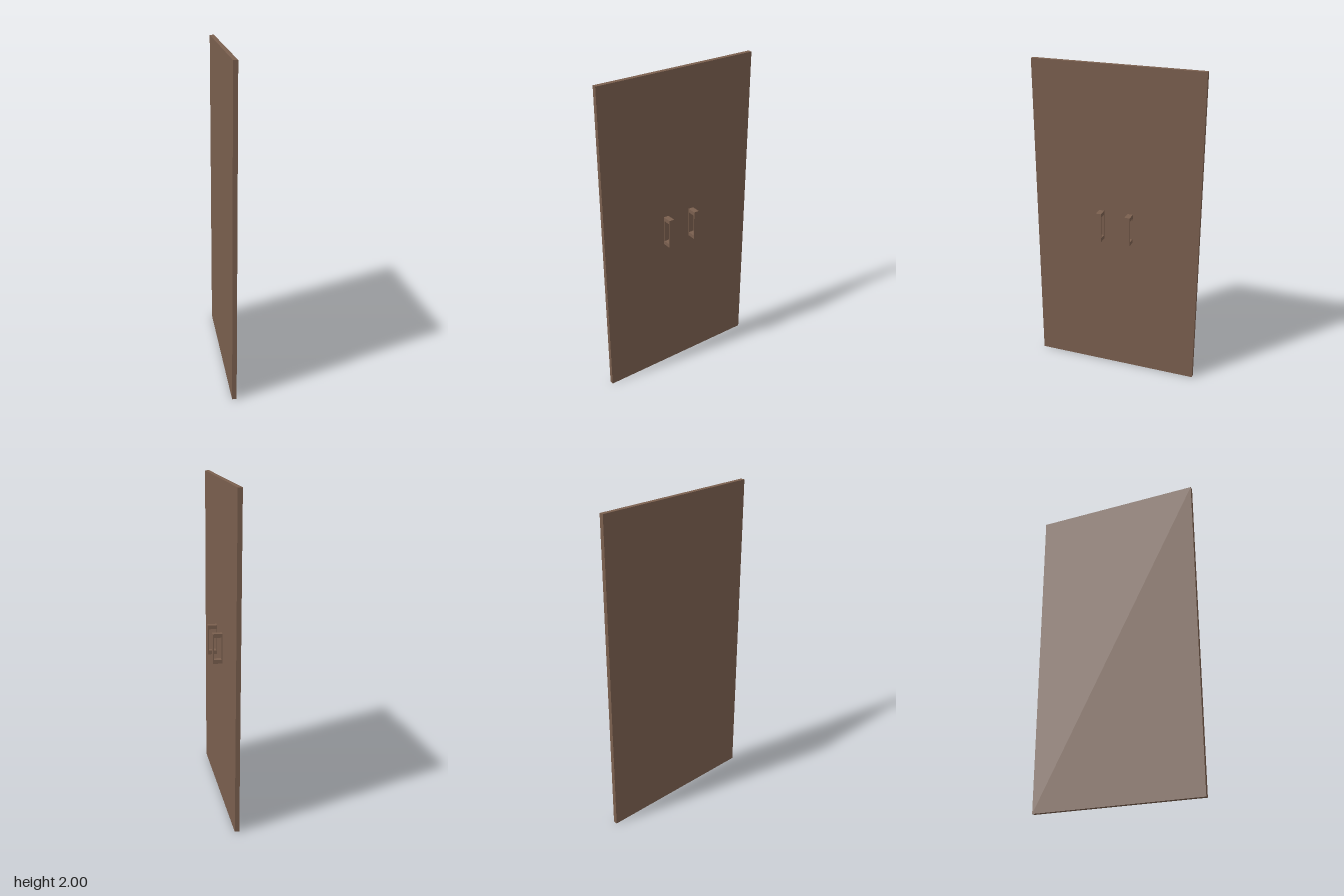
import * as THREE from 'three';

export function createModel() {
  const model = new THREE.Group();
  const wood = new THREE.MeshStandardMaterial({ color: 0x7a5f4e });

  // Thin upright door panel
  const panel = new THREE.Mesh(new THREE.BoxGeometry(0.027, 2, 1.054), wood);
  panel.name = 'doorPanel';
  panel.position.set(-0.0295, 1, 0);
  model.add(panel);

  // Handle outline: rectangular frame in the x-y plane, open along z
  const rect = (path, x0, y0, x1, y1) =>
    path.moveTo(x0, y0).lineTo(x1, y0).lineTo(x1, y1).lineTo(x0, y1).closePath();
  const frame = rect(new THREE.Shape(), -0.016, 0.908, 0.043, 1.096);
  frame.holes.push(rect(new THREE.Path(), -0.011, 0.932, 0.035, 1.072));

  const depth = 0.034;
  const handleGeometry = new THREE.ExtrudeGeometry(frame, { depth, bevelEnabled: false });
  handleGeometry.translate(0, 0, -depth / 2);

  // Pair of handles either side of the centre line
  for (const [name, side] of [['frontHandle', 1], ['rearHandle', -1]]) {
    const handle = new THREE.Mesh(handleGeometry, wood);
    handle.name = name;
    handle.position.z = side * 0.0925;
    model.add(handle);
  }
  return model;
}
